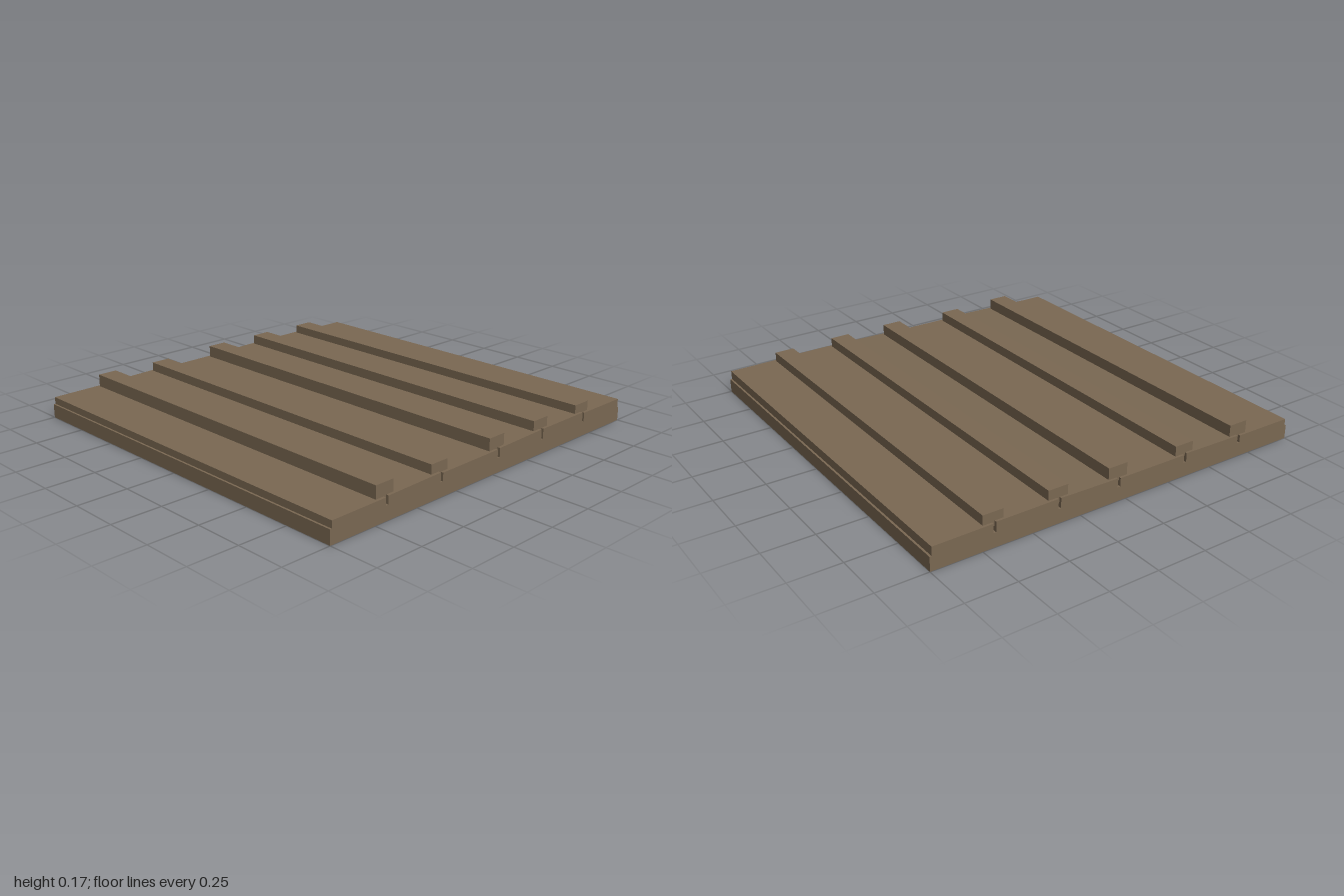
import * as THREE from 'three';

export function createModel() {
  const model = new THREE.Group();
  model.name = 'boardAndBattenPanel';
  const wood = new THREE.MeshStandardMaterial({ color: 0x7a6852 });
  wood.name = 'weathered wood';

  // Box given by its limits along x, y and z
  function addBox(name, x0, x1, y0, y1, z0, z1) {
    const geometry = new THREE.BoxGeometry(x1 - x0, y1 - y0, z1 - z0);
    const mesh = new THREE.Mesh(geometry, wood);
    mesh.position.set((x0 + x1) / 2, (y0 + y1) / 2, (z0 + z1) / 2);
    mesh.name = name;
    model.add(mesh);
    return mesh;
  }

  // Backing sheet
  addBox('backing', -1, 1, 0, 0.07, -1, 1);

  // Planks with narrow gaps: left x, right x, top at left, top at right
  const planks = [
    [-0.99, -0.688, 0.105, 0.106],
    [-0.673, -0.353, 0.110, 0.115],
    [-0.338, 0.032, 0.110, 0.111],
    [0.047, 0.355, 0.114, 0.120],
    [0.368, 0.684, 0.120, 0.120],
    [0.697, 0.99, 0.115, 0.114],
  ];
  planks.forEach(([x0, x1, left, right], i) => {
    const plank = addBox(`plank${i + 1}`, x0, x1, 0.07, left, -1, 1);
    // Slope the upper face a little across the plank
    const pos = plank.geometry.attributes.position;
    for (let v = 0; v < pos.count; v++) {
      if (pos.getX(v) > 0 && pos.getY(v) > 0) pos.setY(v, pos.getY(v) + right - left);
    }
    plank.geometry.computeVertexNormals();
  });

  // Battens covering the gaps: left x, top
  const battens = [[-0.733, 0.168], [-0.398, 0.16], [-0.012, 0.171], [0.311, 0.168], [0.64, 0.163]];
  battens.forEach(([x, top], i) => addBox(`batten${i + 1}`, x, x + 0.102, 0.095, top, -0.988, 0.986));

  return model;
}
